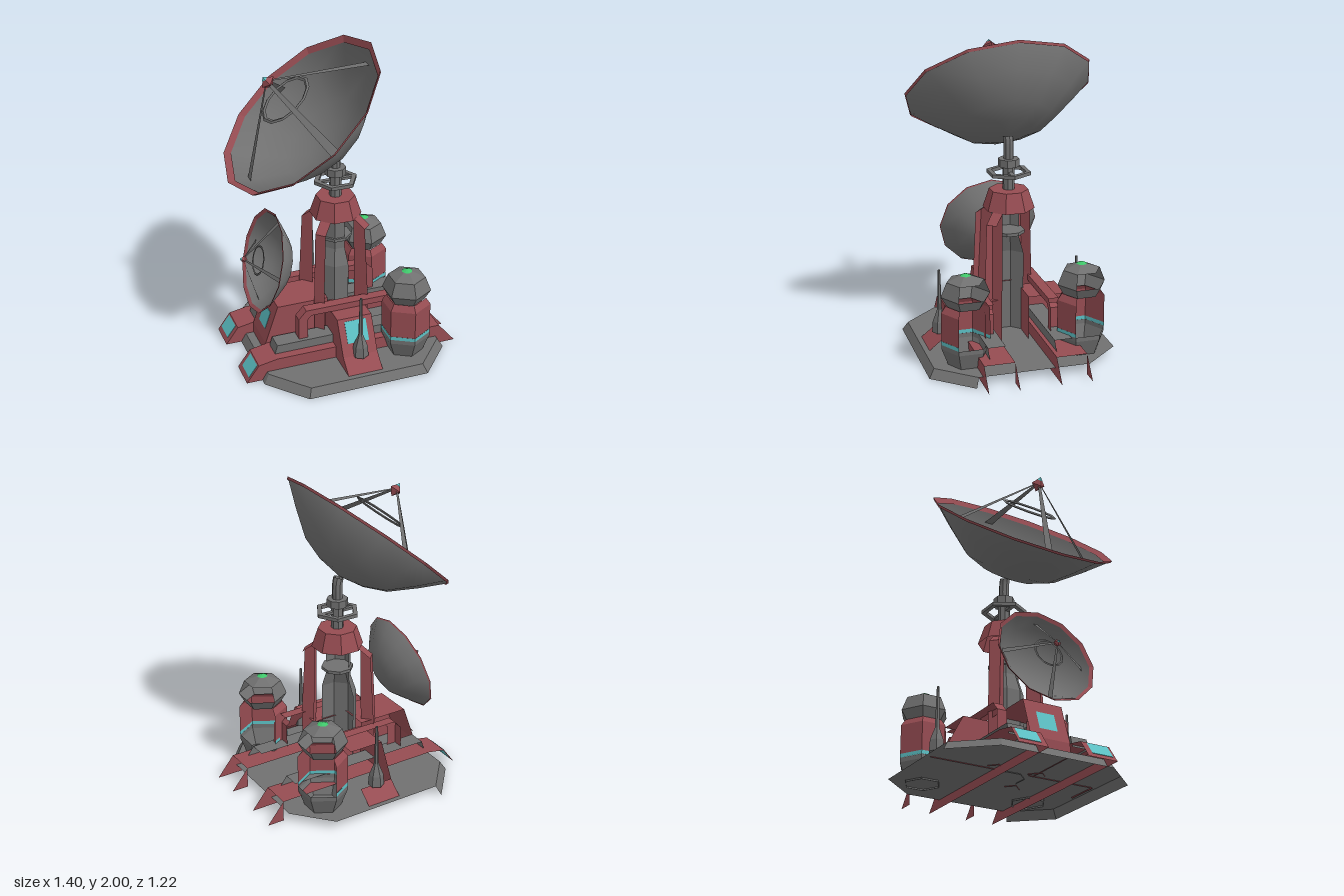
import * as THREE from 'three';

const make = (name, hex) => {
  const m = new THREE.MeshStandardMaterial({ color: hex, side: THREE.DoubleSide });
  m.name = name;
  return m;
};

// Shells are open behind: faces turned away from the left-front-above are left out
const facing = new THREE.Vector3(-0.87, 0.55, 0.5);
const openShell = (geo) => {
  const p = (geo.index ? geo.toNonIndexed() : geo).attributes.position;
  const kept = [];
  const t = new THREE.Triangle(), n = new THREE.Vector3();
  for (let i = 0; i < p.count; i += 3) {
    t.setFromAttributeAndIndices(p, i, i + 1, i + 2);
    if (t.getNormal(n).dot(facing) > -0.05) for (const v of [t.a, t.b, t.c]) kept.push(v.x, v.y, v.z);
  }
  return new THREE.BufferGeometry().setAttribute('position', new THREE.Float32BufferAttribute(kept, 3));
};

export function createModel() {
  const root = new THREE.Group();
  root.name = 'dishStation';
  const grey = make('grey metal', 0x707070);
  const red = make('dull red', 0x964c52);
  const teal = make('teal glass', 0x5cc0c4);
  const green = make('green lamp', 0x3fc66a);

  const place = (name, geo, mat, parent) => {
    const mesh = new THREE.Mesh(geo, mat);
    mesh.name = name;
    parent.add(mesh);
  };
  // whole faceted part
  const solid = (name, geo, mat, parent = root) => {
    const g = geo.index ? geo.toNonIndexed() : geo;
    g.computeVertexNormals();
    place(name, g, mat, parent);
  };
  // faceted part open behind
  const add = (name, geo, mat, parent) => solid(name, openShell(geo), mat, parent);
  const vecs = (pts) => pts.map(([x, y]) => new THREE.Vector2(x, y));
  const shapeOf = (pts) => new THREE.Shape(vecs(pts));
  const sweep = (shape, z0, z1) =>
    new THREE.ExtrudeGeometry(shape, { depth: z1 - z0, bevelEnabled: false }).translate(0, 0, z0);
  // outline in x,y swept from z0 to z1
  const prism = (pts, z0, z1) => sweep(shapeOf(pts), z0, z1);
  // outline in z,y swept from -half to half along x
  const crossPrism = (pts, half) =>
    prism(pts.map(([z, y]) => [-z, y]), -half, half).rotateY(Math.PI / 2);
  const lathe = (pts, sides) => new THREE.LatheGeometry(vecs(pts), sides);
  // thin plate along a sloping edge, outside it (lift 1) or inside it (lift -1)
  const slopePlate = ([x0, y0], [x1, y1], t0, t1, lift = 1) => {
    const l = Math.hypot(x1 - x0, y1 - y0), nx = -(y1 - y0) / l * 0.003, ny = (x1 - x0) / l * 0.003;
    const at = (t, k) => [x0 + (x1 - x0) * t + nx * k, y0 + (y1 - y0) * t + ny * k];
    return [at(t0, lift - 1), at(t1, lift - 1), at(t1, lift), at(t0, lift)];
  };

  // Octagonal base slab with sloping edge
  const slab = prism([[0.39, -0.61], [0.6, -0.37], [0.6, 0.37], [0.39, 0.61],
    [-0.39, 0.61], [-0.6, 0.37], [-0.6, -0.37], [-0.39, -0.61]], 0, 0.055).rotateX(-Math.PI / 2);
  const sp = slab.attributes.position;
  for (let i = 0; i < sp.count; i++) {
    if (sp.getY(i) > 0.03) sp.setXYZ(i, sp.getX(i) * 0.945, 0.055, sp.getZ(i) * 0.945);
  }
  add('baseSlab', slab, grey);

  for (const s of [1, -1]) {
    const span = (pts, a, b) => prism(pts, Math.min(a * s, b * s), Math.max(a * s, b * s));

    // Runner with window at one end and pointed side plates at the other
    add('runner', span([[-0.7, 0], [-0.62, 0.11], [-0.5, 0.133], [0.59, 0.133], [0.59, 0]], 0.13, 0.322), red);
    for (const lift of [1, -1]) {
      add('runnerWindow', span(slopePlate([-0.7, 0], [-0.62, 0.11], 0.25, 0.95, lift), 0.165, 0.305), teal);
    }
    for (const z of [0.13, 0.322]) {
      add('runnerPoint', new THREE.ShapeGeometry(shapeOf([[0.59, 0.133], [0.59, 0], [0.7, 0]])).translate(0, 0, z * s), red);
    }
    add('runnerBar', span([[-0.5, 0.12], [-0.48, 0.19], [0.47, 0.19], [0.52, 0.12]], 0.155, 0.265), grey);

    // Bent rail alongside the tower
    add('sideRail', span([[-0.33, 0.17], [-0.33, 0.33], [-0.28, 0.385], [0.28, 0.385], [0.33, 0.33], [0.33, 0.17],
      [0.27, 0.17], [0.27, 0.32], [0.245, 0.345], [-0.245, 0.345], [-0.27, 0.32], [-0.27, 0.17]], 0.175, 0.24), red);

    // Sloping entrance
    add('entrance', crossPrism([[0.1 * s, 0.05], [0.55 * s, 0.05], [0.45 * s, 0.13], [0.34 * s, 0.34], [0.1 * s, 0.34]], 0.113), red);

    // Needle antenna
    solid('needle', lathe([[0, 0.12], [0.05, 0.13], [0.045, 0.2], [0.015, 0.28], [0.008, 0.54], [0, 0.54]], 6)
      .translate(0, 0, 0.45 * s), grey);

    // Storage tank
    const tank = new THREE.Group();
    tank.name = 'tank';
    tank.position.set(0.335, 0, 0.367 * s);
    root.add(tank);
    solid('tankFoot', lathe([[0.11, 0.045], [0.153, 0.16], [0.153, 0.188]], 6), grey, tank);
    add('tankStripe', lathe([[0.154, 0.188], [0.154, 0.212]], 6), teal, tank);
    add('tankBody', lathe([[0.153, 0.212], [0.153, 0.395], [0.125, 0.435]], 6), red, tank);
    solid('tankNeck', lathe([[0.115, 0.43], [0.153, 0.495]], 6), grey, tank);
    add('tankDome', lathe([[0.153, 0.495], [0.117, 0.585], [0, 0.632]], 6), grey, tank);
    add('tankLamp', lathe([[0.034, 0.62], [0, 0.635]], 8), green, tank);
  }
  add('entranceWindow', crossPrism(slopePlate([0.34, 0.34], [0.45, 0.13], 0.08, 0.66), 0.07), teal);

  // Diagonal fins bracing the tower
  for (const quarter of [-1, -3, 3]) {
    add('towerFin', prism([[0.15, 0.05], [0.24, 0.05], [0.24, 0.4], [0.216, 0.85], [0.14, 0.91]], -0.035, 0.035)
      .rotateY(quarter * Math.PI / 4), red);
  }

  // Sloped block below the small dish
  add('rearBlock', prism([[-0.515, 0.05], [-0.515, 0.13], [-0.43, 0.38], [-0.1, 0.38], [-0.1, 0.05]], -0.13, 0.13), red);
  add('blockWindow', prism(slopePlate([-0.515, 0.13], [-0.43, 0.38], 0.25, 0.7), -0.06, 0.06), teal);

  // Tower core, collar and head
  const eighth = Math.PI / 8;
  add('towerCore', lathe([[0.12, 0.05], [0.12, 0.58], [0.085, 0.69], [0.085, 0.92]], 8).rotateY(eighth), grey);
  solid('towerCollar', new THREE.CylinderGeometry(0.1, 0.1, 0.02, 8).rotateY(eighth).translate(0, 0.755, 0), grey);
  solid('towerHead', new THREE.CylinderGeometry(0.122, 0.162, 0.12, 8, 1, true).rotateY(eighth).translate(0, 0.97, 0), red);
  solid('headTop', new THREE.CircleGeometry(0.122, 8).rotateX(-Math.PI / 2).rotateY(eighth).translate(0, 1.03, 0), red);

  // Mast with hexagonal ring and bent neck
  solid('mast', new THREE.CylinderGeometry(0.038, 0.038, 0.2, 8).rotateY(eighth).translate(0, 1.12, 0), grey);
  solid('mastCollar', new THREE.CylinderGeometry(0.066, 0.066, 0.048, 8).rotateY(eighth).translate(0, 1.2, 0), grey);
  const hex = (r) => [0, 1, 2, 3, 4, 5].map((i) => [r * Math.cos(i * Math.PI / 3), r * Math.sin(i * Math.PI / 3)]);
  const ringShape = shapeOf(hex(0.14));
  ringShape.holes.push(new THREE.Path(vecs(hex(0.11))));
  solid('mastRing', sweep(ringShape, 0, 0.022).rotateX(-Math.PI / 2).translate(0, 1.125, 0), grey);
  solid('ringSpoke', new THREE.BoxGeometry(0.23, 0.016, 0.025).translate(0, 1.136, 0), grey);
  const neck = new THREE.CatmullRomCurve3([[0, 1.2], [0, 1.3], [-0.003, 1.335], [-0.01, 1.36]]
    .map(([x, y]) => new THREE.Vector3(x, y, 0)));
  solid('neck', new THREE.TubeGeometry(neck, 8, 0.032, 8), grey);

  // Dish, opening along its local y axis
  const addDish = (name, x, y, tilt, k, feedY, ringY) => {
    const dish = new THREE.Group();
    dish.name = name;
    dish.position.set(x, y, 0);
    dish.rotation.z = tilt;
    root.add(dish);
    const scaled = (pts) => lathe(pts.map(([r, h]) => [r * k, h * k]), 12);

    // Bowl with rounded shading, as part of a ball
    const bowl = scaled([[0, -0.33], [0.16, -0.305], [0.3, -0.25], [0.45, -0.128], [0.588, -0.004]]);
    const bp = bowl.attributes.position, n = new THREE.Vector3();
    for (let i = 0; i < bp.count; i++) {
      n.fromBufferAttribute(bp, i);
      n.y -= 0.2 * k;
      n.normalize();
      bowl.attributes.normal.setXYZ(i, n.x, n.y, n.z);
    }
    place('bowl', bowl, grey, dish);
    solid('rim', scaled([[0.585, -0.016], [0.593, 0], [0.555, -0.026]]), red, dish);
    solid('feedRing', new THREE.TorusGeometry(0.165 * k, 0.014 * k, 4, 12).rotateX(-Math.PI / 2)
      .scale(1, 0.5, 1).translate(0, ringY, 0), grey, dish);
    solid('feed', new THREE.OctahedronGeometry(0.046 * k).translate(0, feedY, 0), red, dish);
    solid('feedLens', new THREE.ConeGeometry(0.02 * k, 0.02 * k, 4).translate(0, feedY + 0.038 * k, 0), teal, dish);

    // Flat struts from the bowl up to the feed
    for (let i = 0; i < 4; i++) {
      const g = new THREE.BufferGeometry();
      const w0 = 0.01 * k, w1 = 0.028 * k, r0 = 0.015 * k, r1 = 0.49 * k, h = -0.085 * k;
      g.setAttribute('position', new THREE.Float32BufferAttribute(
        [r0, feedY, w0, r1, h, w1, r1, h, -w1, r0, feedY, -w0], 3));
      g.setIndex([0, 1, 2, 0, 2, 3]);
      solid('feedStrut', g.rotateY(i * Math.PI / 2), grey, dish);
    }
  };
  addDish('mainDish', -0.2275, 1.6175, 0.702, 1, 0.294, 0.13);
  addDish('smallDish', -0.485, 0.657, 1.29, 0.55, 0.12, 0.024);

  return root;
}
